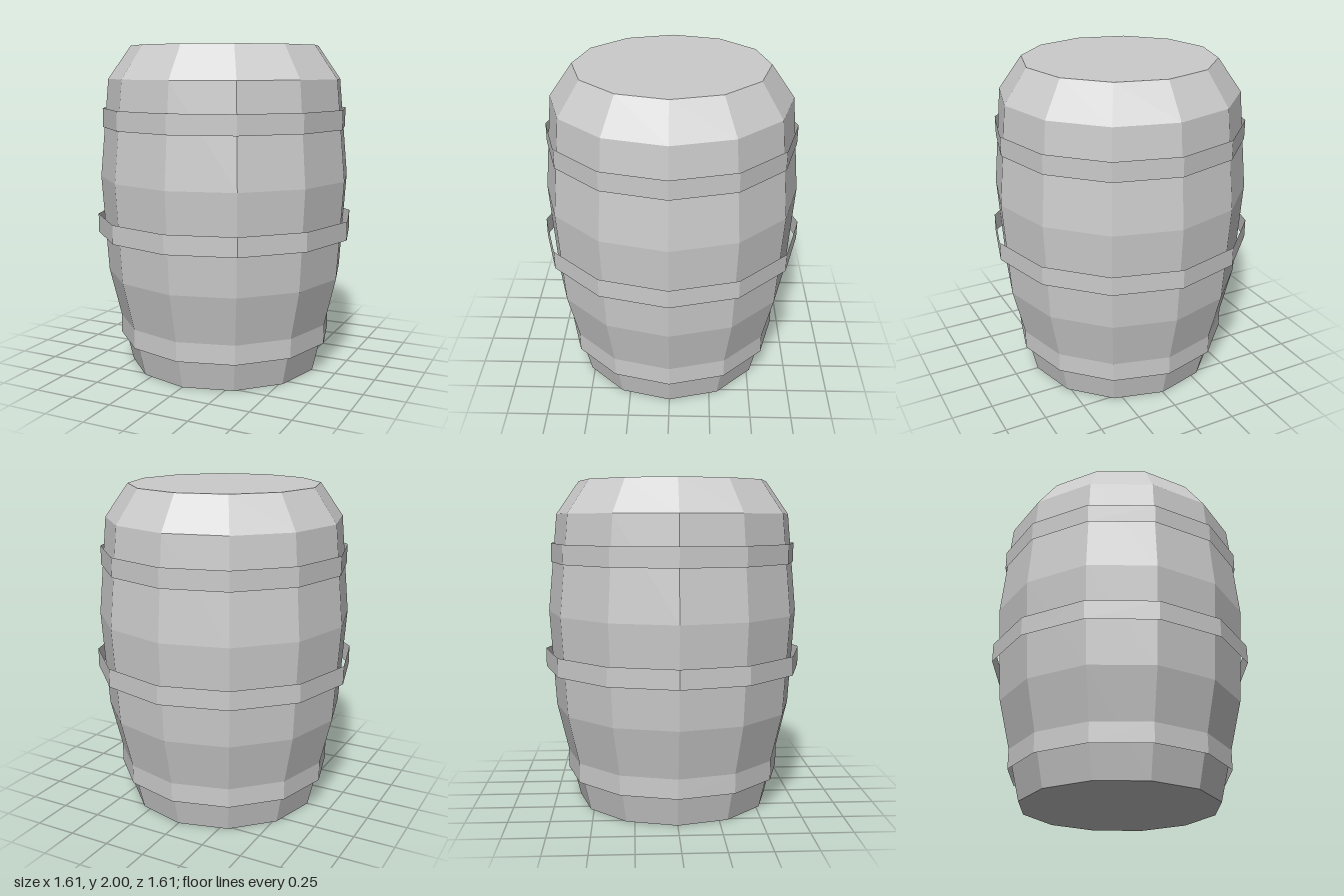
import * as THREE from 'three';

const SIDES = 12;

export function createModel() {
  const group = new THREE.Group();
  group.name = 'barrel';

  // Closed body: bottom cap, bulging staves, bevelled shoulder, lid
  const profile = [[0, 0], [0.6, 0], [0.742, 0.6], [0.78, 1.2], [0.723, 1.8], [0.582, 2], [0, 2]]
    .map(([r, y]) => new THREE.Vector2(r, y));
  const body = new THREE.Mesh(
    new THREE.LatheGeometry(profile, SIDES),
    new THREE.MeshStandardMaterial({ color: 0xcccccc, flatShading: true })
  );
  body.name = 'body';
  group.add(body);

  // Thin open hoops, straight-sided, with the same facets as the body
  const hoopMaterial = new THREE.MeshStandardMaterial({
    color: 0xcccccc, flatShading: true, side: THREE.DoubleSide
  });
  const hoops = [
    ['bottomHoop', 0.672, 0.183, 0.302],
    ['middleHoop', 0.803, 0.846, 0.961],
    ['topHoop', 0.761, 1.505, 1.622]
  ];
  for (const [name, radius, low, high] of hoops) {
    const hoop = new THREE.Mesh(
      new THREE.CylinderGeometry(radius, radius, high - low, SIDES, 1, true),
      hoopMaterial
    );
    hoop.name = name;
    hoop.position.y = (low + high) / 2;
    group.add(hoop);
  }

  return group;
}
